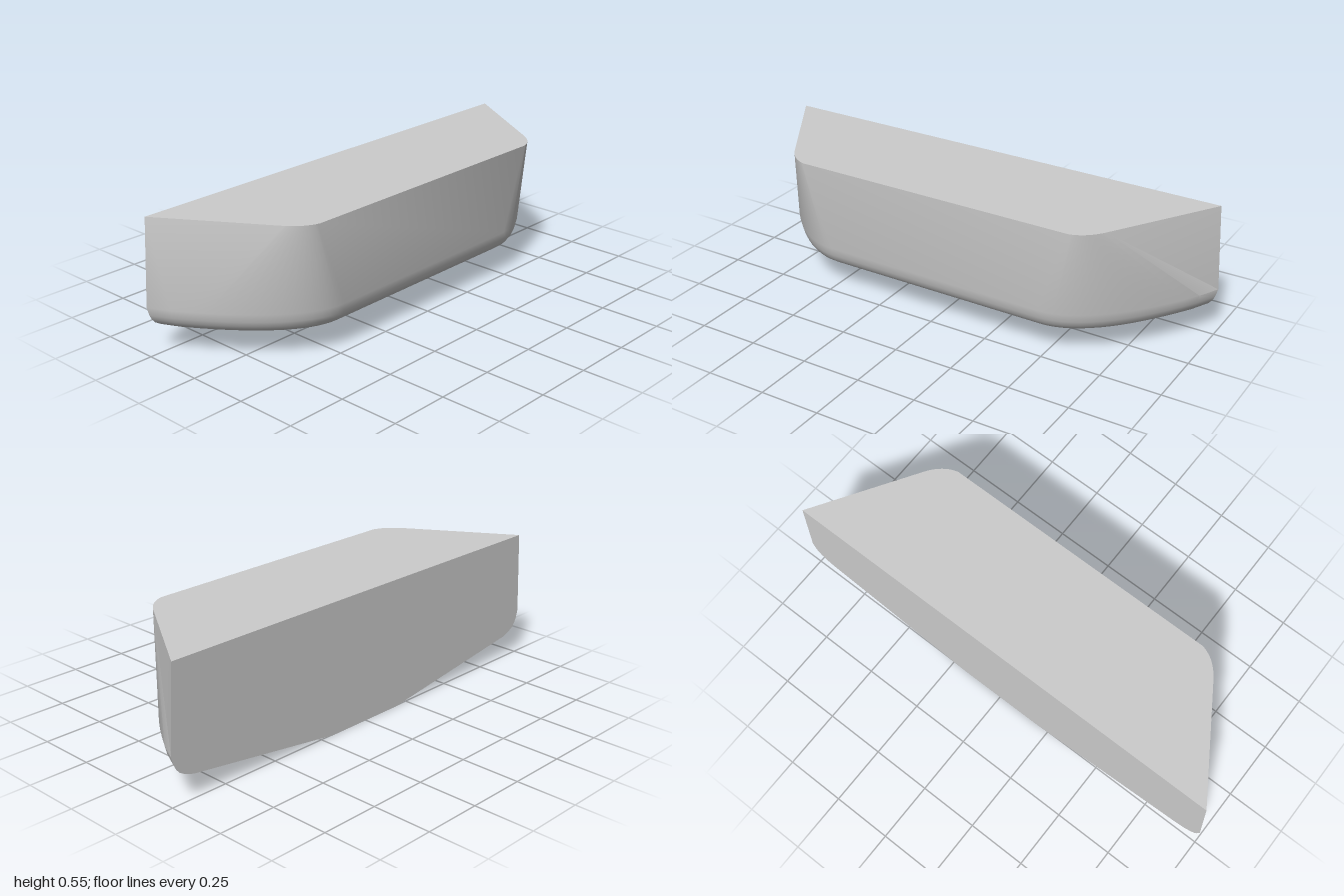
import * as THREE from 'three';
import { toCreasedNormals } from 'three/addons/utils/BufferGeometryUtils.js';

const BACK = -0.255;
const ARC = 14; // segments per rounded corner

// Half outline from +z to -z: straight end, rounded corner, long side, mirrored
function outline(endZ, arcStart, corner, arcEnd) {
  const v = ([x, z]) => new THREE.Vector2(x, z);
  const arc = new THREE.QuadraticBezierCurve(v(arcStart), v(corner), v(arcEnd)).getPoints(ARC);
  const half = [v([BACK, endZ]), ...arc];
  return [...half, ...half.map(p => new THREE.Vector2(p.x, -p.y)).reverse()];
}

const atHeight = (ring, y) => ring.map(p => new THREE.Vector3(p.x, y, p.y));

export function createModel() {
  const group = new THREE.Group();
  const grey = new THREE.MeshStandardMaterial({ color: 0xcccccc });
  grey.name = 'light grey';

  const rim = outline(0.98, [0.17, 0.71], [0.24, 0.665], [0.255, 0.6]);
  const belly = outline(1.0, [-0.17, 0.958], [0.255, 0.7], [0.255, 0.48]);
  const chine = outline(0.9, [-0.19, 0.87], [0.17, 0.65], [0.17, 0.46]);
  const keel = outline(0.19, [-0.16, 0.19], [-0.12, 0.19], [-0.12, 0.14]);

  // Stack of cross-sections: sides, rounded lower edge, sloping underside
  const fillet = [[0, 0.2], [0.1, 0.165], [0.2, 0.145], [0.35, 0.128], [0.62, 0.112], [1, 0.1]];
  const rings = [
    atHeight(rim, 0.553),
    ...fillet.map(([t, y]) => atHeight(belly.map((p, i) => p.clone().lerp(chine[i], t)), y)),
    atHeight(keel, 0),
  ];

  const pos = [];
  const quad = (a, b, c, d) => [a, b, c, a, c, d].forEach(p => pos.push(p.x, p.y, p.z));
  const last = rim.length - 1;

  for (let k = 0; k < rings.length - 1; k++) {
    const up = rings[k], low = rings[k + 1];
    for (let i = 0; i < last; i++) quad(up[i], low[i], low[i + 1], up[i + 1]);
    quad(up[0], up[last], low[last], low[0]); // flat back wall
  }

  // Flat top and flat bottom
  const top = rings[0], bottom = rings[rings.length - 1];
  for (let i = 0; i < (last - 1) / 2; i++) {
    const j = last - i;
    quad(top[i], top[i + 1], top[j - 1], top[j]);
    quad(bottom[j], bottom[j - 1], bottom[i + 1], bottom[i]);
  }

  const geometry = new THREE.BufferGeometry();
  geometry.setAttribute('position', new THREE.Float32BufferAttribute(pos, 3));
  const body = new THREE.Mesh(toCreasedNormals(geometry, 0.45), grey);
  body.name = 'body';
  group.add(body);
  return group;
}
